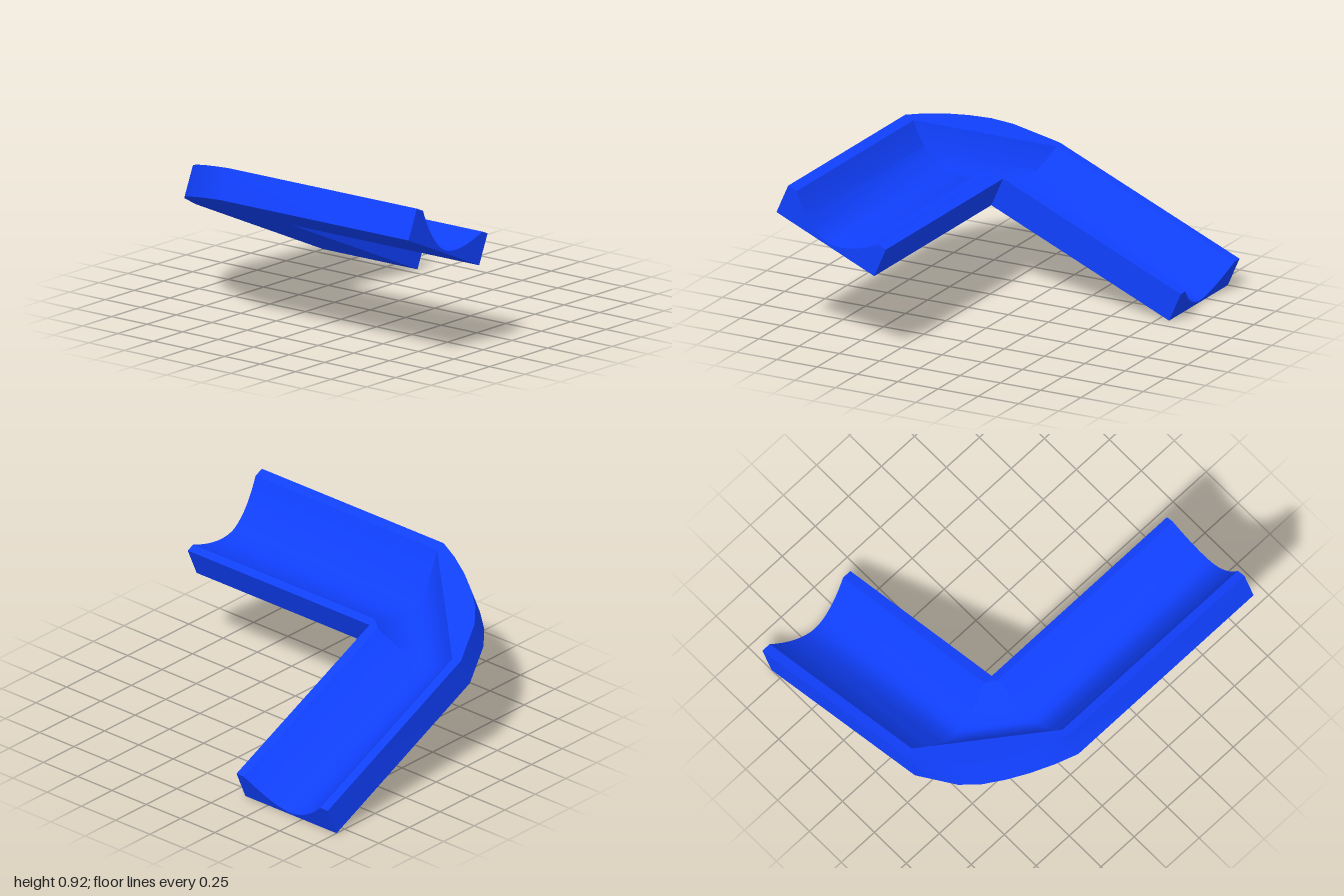
import * as THREE from 'three';
import { toCreasedNormals } from 'three/addons/utils/BufferGeometryUtils.js';

const HEIGHT = 0.18, FLOOR = 0.015, STEPS = 24;

// Cross-section at one station. Plan points are [x, z]:
// inner wall, inner channel edge, outer channel edge, outer wall.
function section([wallIn, edgeIn, edgeOut, wallOut]) {
  const at = ([x, z], y) => new THREE.Vector3(x, y, z);
  const ring = [at(wallIn, 0), at(wallIn, HEIGHT)];
  const a = at(edgeIn, 0), b = at(edgeOut, 0);
  for (let i = 0; i <= STEPS; i++) {
    const p = new THREE.Vector3().lerpVectors(a, b, i / STEPS);
    p.y = FLOOR + (HEIGHT - FLOOR) * Math.abs(2 * i / STEPS - 1) ** 1.75;
    ring.push(p);
  }
  ring.push(at(wallOut, HEIGHT), at(wallOut, 0));
  return ring;
}

const mix = (p, q, t) => [p[0] + (q[0] - p[0]) * t, p[1] + (q[1] - p[1]) * t];

function troughGeometry() {
  // The two sections where the straight arms meet the corner
  const start = [[-0.325, 1.2], [-0.385, 1.2], [-0.93, 1.2], [-0.985, 1.21]];
  const end = [[-0.325, 1.2], [-0.325, 1.249], [-0.325, 1.806], [-0.325, 1.863]];
  // Rounded outer wall of the corner: [share of the turn, x, z]
  const bend = [[0.27, -0.88, 1.46], [0.41, -0.8, 1.565], [0.56, -0.695, 1.655],
    [0.71, -0.58, 1.735], [0.86, -0.45, 1.808]];

  const stations = [
    [[-0.335, 0], [-0.39, 0], [-0.945, 0], [-1, 0]],
    start,
    ...bend.map(([t, x, z]) => [
      start[0], mix(start[1], end[1], t), mix(start[2], end[2], t), [x, z]]),
    end,
    end.map(([, z]) => [1, z]),
  ].map(section);

  const positions = [];
  const tri = (a, b, c) => {
    if (new THREE.Triangle(a, b, c).getArea() < 1e-7) return;
    for (const p of [a, b, c]) positions.push(p.x, p.y, p.z);
  };
  const quad = (a, b, c, d) => { tri(a, b, c); tri(a, c, d); };

  // Skin between neighbouring sections
  for (let i = 0; i + 1 < stations.length; i++) {
    const r = stations[i], s = stations[i + 1];
    for (let j = 0; j < r.length; j++) {
      const k = (j + 1) % r.length;
      quad(r[j], r[k], s[k], s[j]);
    }
  }
  // End caps, filled down to the base
  const drop = (p) => new THREE.Vector3(p.x, 0, p.z);
  const cap = (ring, flip) => {
    for (let j = 0; j + 1 < ring.length; j++) {
      const a = ring[j], b = ring[j + 1];
      if (flip) quad(b, a, drop(a), drop(b));
      else quad(a, b, drop(b), drop(a));
    }
  };
  cap(stations[0], true);
  cap(stations[stations.length - 1], false);

  const geometry = new THREE.BufferGeometry();
  geometry.setAttribute('position', new THREE.Float32BufferAttribute(positions, 3));
  return toCreasedNormals(geometry, 0.5);
}

export function createModel() {
  const group = new THREE.Group();
  group.name = 'cornerTrough';
  const trough = new THREE.Mesh(troughGeometry(),
    new THREE.MeshStandardMaterial({ color: 0x1040ff }));
  trough.name = 'trough';
  // Whole piece slopes up toward the front
  trough.rotation.x = -0.4145;
  trough.position.z = -0.815;
  group.add(trough);
  return group;
}
